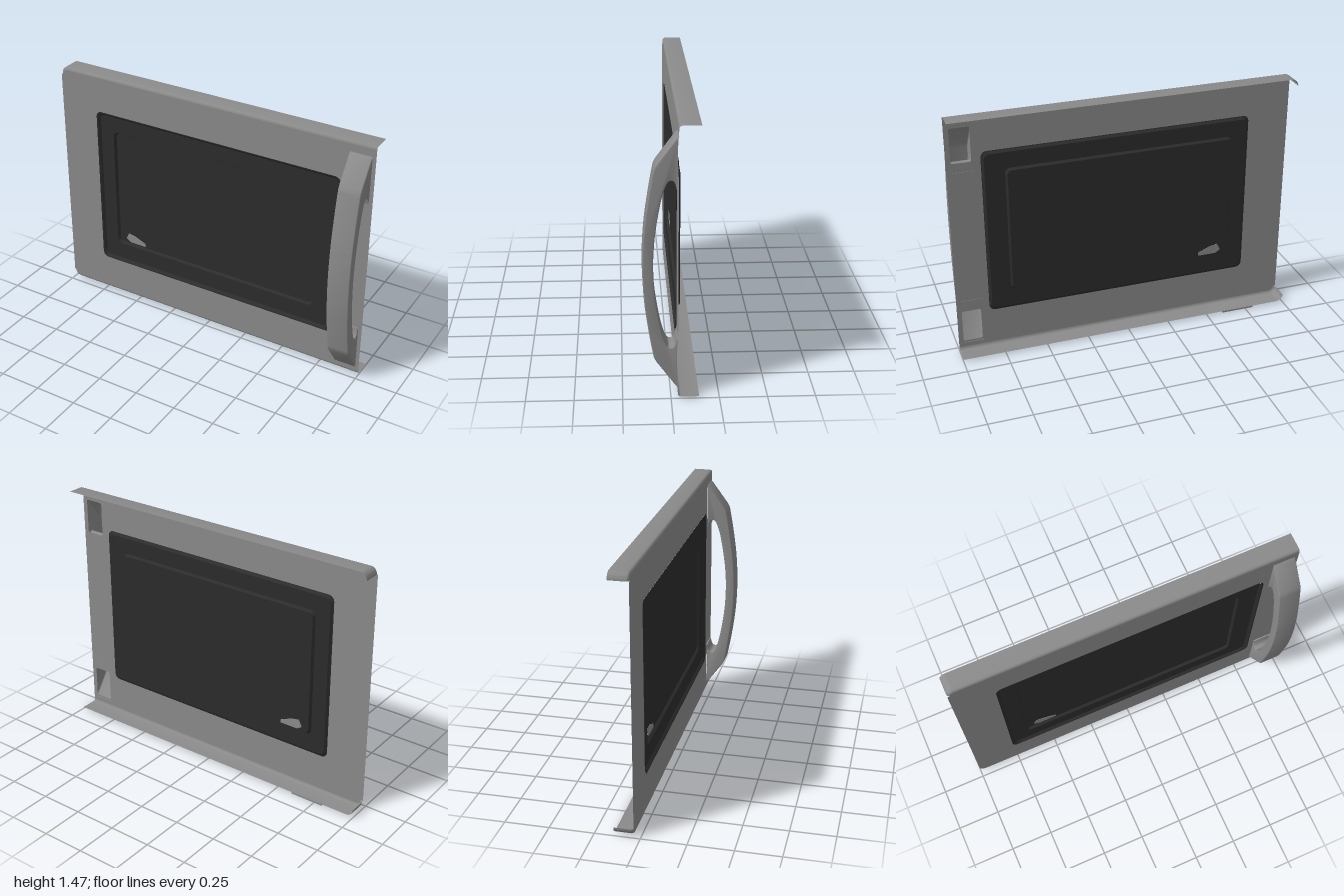
import * as THREE from 'three';
import { toCreasedNormals } from 'three/addons/utils/BufferGeometryUtils.js';

const steel = new THREE.MeshStandardMaterial({ color: 0x8a8a8a, side: THREE.DoubleSide });
steel.name = 'grey enamel';
const glass = new THREE.MeshStandardMaterial({ color: 0x2c2c2c, side: THREE.DoubleSide });
glass.name = 'dark glass';

const FACE_Z = -0.035, BACK_Z = -0.145;

// Rounded rectangle outline, same number of points for any size
function roundedRect(x0, x1, y0, y1, r, n = 6) {
  const pts = [];
  [[x1 - r, y1 - r], [x0 + r, y1 - r], [x0 + r, y0 + r], [x1 - r, y0 + r]].forEach(([cx, cy], q) => {
    for (let i = 0; i <= n; i++) {
      const a = (q + i / n) * Math.PI / 2;
      pts.push(new THREE.Vector2(cx + r * Math.cos(a), cy + r * Math.sin(a)));
    }
  });
  return pts;
}

// Skin stretched over a list of cross-sections (arrays of Vector3)
function loft(rows, closed) {
  const n = rows[0].length, index = [];
  for (let j = 0; j < rows.length - 1; j++) {
    for (let i = 0; i < (closed ? n : n - 1); i++) {
      const k = (i + 1) % n;
      const a = j * n + i, b = j * n + k, c = a + n, d = b + n;
      index.push(a, b, c, b, d, c);
    }
  }
  const g = new THREE.BufferGeometry().setFromPoints(rows.flat());
  g.setIndex(index);
  return toCreasedNormals(g, 0.7);
}

function addMesh(parent, name, geometry, material) {
  const m = new THREE.Mesh(geometry, material);
  m.name = name;
  parent.add(m);
  return m;
}

// Flange path: straight along the edge, curling round the corner at -x
function edgePath(top, inset) {
  const r = 0.04, edge = top ? 1.465 : 0.01, s = top ? 1 : -1;
  const pts = [[1, edge - s * inset]];
  for (let i = 0; i <= 8; i++) {
    const a = i / 8 * Math.PI / 2;
    pts.push([-1 + r - (r - inset) * Math.sin(a), edge - s * r + s * (r - inset) * Math.cos(a)]);
  }
  return pts;
}

function flange(top) {
  const profile = [[0.016, FACE_Z], [0.008, -0.037], [0.002, -0.043], [0, -0.051], [0, BACK_Z]];
  return loft(profile.map(([inset, z]) =>
    edgePath(top, inset).map(([x, y]) => new THREE.Vector3(x, y, z))), false);
}

// Front sheet with window cut-out and two openings into the hollow handle
function frontPanel() {
  const v = ([x, y]) => new THREE.Vector2(x, y);
  const shape = new THREE.Shape([
    ...edgePath(true, 0.016).map(v), v([-1, 1.42]), v([-1, 0.055]),
    ...edgePath(false, 0.016).reverse().map(v),
  ]);
  shape.holes.push(
    new THREE.Path(roundedRect(-0.755, 0.81, 0.24, 1.235, 0.035)),
    new THREE.Path(roundedRect(0.86, 0.972, 1.185, 1.39, 0.01)),
    new THREE.Path(roundedRect(0.86, 0.972, 0.065, 0.26, 0.01)),
  );
  return new THREE.ShapeGeometry(shape).translate(0, 0, FACE_Z);
}

// Pressed window sheet: raised lip, frame, step and recessed pane
function windowSheet() {
  const ring = (x0, x1, y0, y1, r, z) =>
    roundedRect(x0, x1, y0, y1, r).map(p => new THREE.Vector3(p.x, p.y, z));
  const rows = [
    ring(-0.76, 0.815, 0.237, 1.238, 0.035, -0.032),
    ring(-0.752, 0.807, 0.245, 1.23, 0.035, -0.033),
    ring(-0.74, 0.795, 0.257, 1.218, 0.03, -0.046),
    ring(-0.653, 0.682, 0.362, 1.123, 0.03, -0.046),
    ring(-0.643, 0.672, 0.372, 1.113, 0.025, -0.061),
  ];
  rows.push(rows[4].map(() => new THREE.Vector3(0.015, 0.74, -0.061)));
  return loft(rows, true);
}

// Bowed handle, hollow and open at the back of both feet
function handleShell() {
  const mid = 0.73;
  const bow = (pts) => new THREE.SplineCurve(pts.map(([z, y]) => new THREE.Vector2(-z, y))).getPoints(36);
  const mirror = (half) => [...half, ...half.slice(0, -1).reverse().map(([z, y]) => [z, 2 * mid - y])];
  const outer = bow(mirror([[0.088, 1.235], [0.112, 1.1], [0.136, 0.92], [0.145, mid]]));
  const inner = bow(mirror([[-0.027, 1.13], [-0.018, 1.165], [0.0, 1.18], [0.022, 1.165],
    [0.05, 1.08], [0.08, 0.9], [0.09, mid]]));
  const p = (z, y) => new THREE.Vector2(-z, y);
  const shape = new THREE.Shape([
    p(-0.037, 1.405), p(-0.022, 1.393), p(0.075, 1.262), ...outer,
    p(0.075, 0.2), p(-0.022, 0.065), p(-0.037, 0.052),
    p(-0.037, 0.33), ...inner.reverse(), p(-0.037, 1.13),
  ]);
  const b = 0.008;
  let g = new THREE.ExtrudeGeometry(shape, {
    depth: 0.13 - 2 * b, bevelThickness: b, bevelSize: b, bevelOffset: -b, bevelSegments: 3,
  });
  g.rotateY(Math.PI / 2).translate(0.85 + b, 0, 0);
  // drop the faces lying against the panel
  const src = g.attributes.position, kept = [];
  for (let i = 0; i < src.count; i += 3) {
    if (Math.max(src.getZ(i), src.getZ(i + 1), src.getZ(i + 2)) < -0.0285) continue;
    for (let k = i; k < i + 3; k++) kept.push(new THREE.Vector3().fromBufferAttribute(src, k));
  }
  g = new THREE.BufferGeometry().setFromPoints(kept);
  return toCreasedNormals(g, 0.5);
}

export function createModel() {
  const door = new THREE.Group();
  door.name = 'ovenDoor';

  addMesh(door, 'frontPanel', frontPanel(), steel);
  addMesh(door, 'topFlange', flange(true), steel);
  addMesh(door, 'bottomFlange', flange(false), steel);
  addMesh(door, 'window', windowSheet(), glass);
  addMesh(door, 'handle', handleShell(), steel);

  // Small pale fleck in the lower corner of the pane, seen from both sides
  const fleck = new THREE.Shape([[-0.6, 0.4], [-0.58, 0.44], [-0.53, 0.43], [-0.46, 0.4],
    [-0.46, 0.38], [-0.57, 0.38]].map(([x, y]) => new THREE.Vector2(x, y)));
  addMesh(door, 'paneFleck', new THREE.ExtrudeGeometry(fleck, { depth: 0.004, bevelEnabled: false })
    .translate(0, 0, -0.063), steel);

  // Shallow pad under the bottom flange
  addMesh(door, 'bottomPad', new THREE.BoxGeometry(0.2, 0.01, 0.03).translate(-0.7, 0.005, -0.13), steel);

  return door;
}
